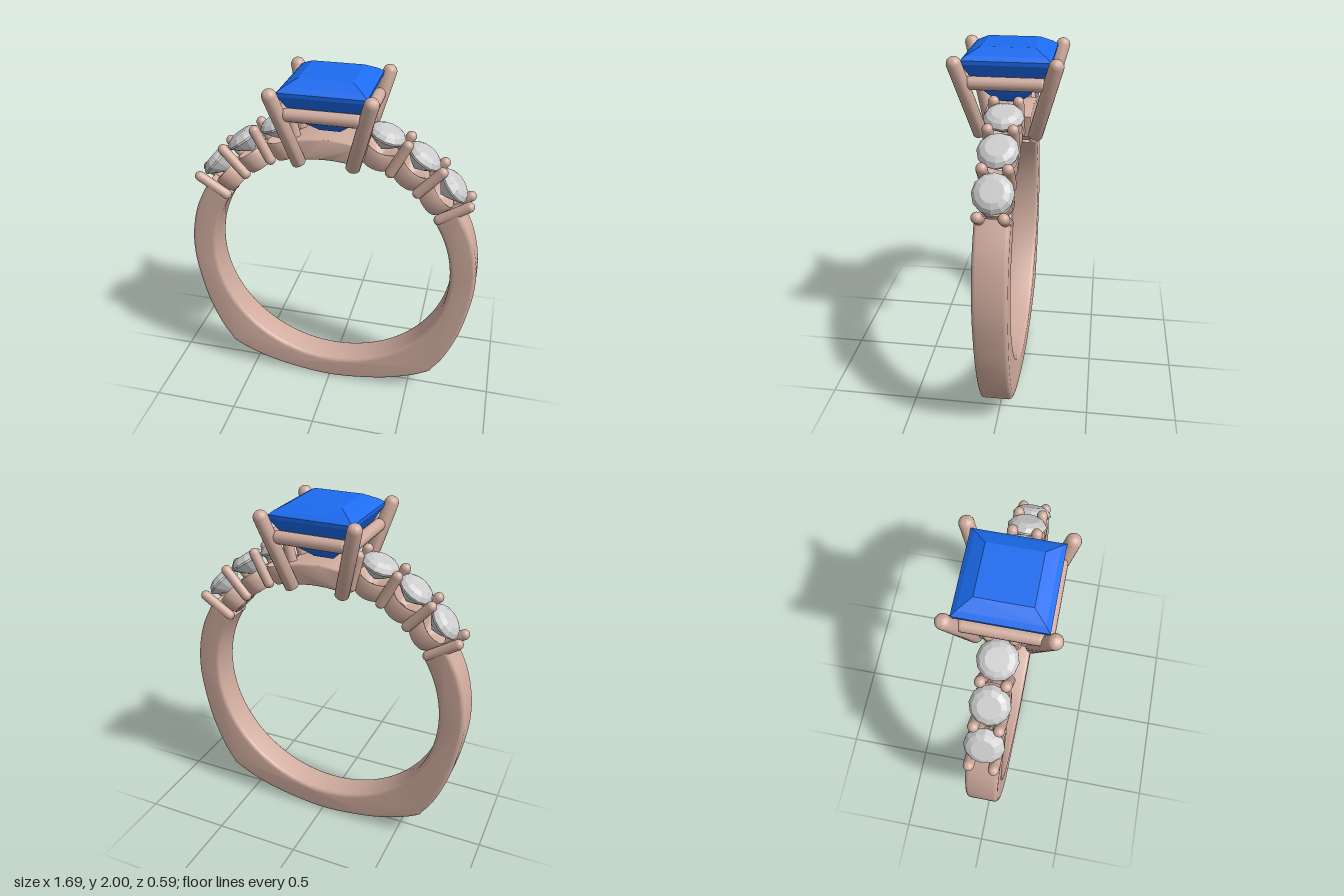
import * as THREE from 'three';
import { toCreasedNormals } from 'three/addons/utils/BufferGeometryUtils.js';

const CY = 0.853; // height of the finger-hole centre
const R = 0.7; // finger-hole radius
const rad = THREE.MathUtils.degToRad;

const gold = new THREE.MeshStandardMaterial({ color: 0xd0ac9e });
const grey = new THREE.MeshStandardMaterial({ color: 0xcccccc, flatShading: true });
const blue = new THREE.MeshStandardMaterial({ color: 0x1c6cf0, flatShading: true });

const v2 = (x, y) => new THREE.Vector2(x, y);
const v3 = (x, y, z) => new THREE.Vector3(x, y, z);

function add(parent, name, geometry, material) {
  const mesh = new THREE.Mesh(geometry, material);
  mesh.name = name;
  parent.add(mesh);
  return mesh;
}

// Round-ended rod whose tips reach exactly from a to b
function rod(parent, name, a, b, r) {
  const dir = b.clone().sub(a);
  const mesh = add(parent, name, new THREE.CapsuleGeometry(r, dir.length() - 2 * r, 6, 16), gold);
  mesh.position.copy(a).add(b).multiplyScalar(0.5);
  mesh.quaternion.setFromUnitVectors(v3(0, 1, 0), dir.normalize());
  return mesh;
}

// Extrude an outline to the given width with rounded edges, centred on z
function slab(points, width, bevel) {
  const geometry = new THREE.ExtrudeGeometry(new THREE.Shape(points), {
    depth: width - 2 * bevel, bevelThickness: bevel, bevelSize: bevel,
    bevelOffset: -bevel, bevelSegments: 4,
  });
  geometry.translate(0, 0, bevel - width / 2);
  return toCreasedNormals(geometry, rad(35));
}

// Points on a circle about the finger hole; angle measured from the top towards +x
function arc(r, from, to, n) {
  return Array.from({ length: n + 1 }, (_, i) => {
    const t = rad(from + ((to - from) * i) / n);
    return v2(r * Math.sin(t), CY + r * Math.cos(t));
  });
}

function createBand(ring) {
  // Outer half profile: shoulder, side, squared lower corner, shallow base
  const half = [
    [0.71, 1.315], [0.79, 1.16], [0.833, 1.0], [0.845, 0.85], [0.831, 0.7], [0.79, 0.5],
    [0.72, 0.31], [0.655, 0.2], [0.625, 0.163], [0.5, 0.1], [0.3, 0.04],
  ].map(([x, y]) => v2(x, y));
  const mirrored = half.map((p) => v2(-p.x, p.y)).reverse();
  const outer = new THREE.SplineCurve([...half, v2(0, 0.005), ...mirrored]).getPoints(120);
  add(ring, 'band', slab([...outer, ...arc(R, 302.5, 57.5, 90)], 0.18, 0.022), gold);

  // Curved bridge below the centre stone
  const bridge = [...arc(R + 0.12, -13, 13, 16), ...arc(R, 13, -13, 16)];
  add(ring, 'bridge', slab(bridge, 0.25, 0.012), gold);
}

// Pierced cup, round-cut stone: both built along +y, measured from the hole centre
const cupGeometry = toCreasedNormals(new THREE.LatheGeometry([
  v2(0.026, 0.705), v2(0.078, 0.7), v2(0.09, 0.725), v2(0.097, 0.8), v2(0.092, 0.81),
  v2(0.08, 0.805), v2(0.026, 0.75), v2(0.026, 0.705),
], 32), rad(35));
const stoneGeometry = new THREE.LatheGeometry([
  v2(0, 0.79), v2(0.055, 0.83), v2(0.105, 0.876), v2(0.105, 0.886),
  v2(0.088, 0.908), v2(0.06, 0.922), v2(0, 0.922),
], 12);

function createShoulder(side) {
  const shoulder = new THREE.Group();
  shoulder.name = side > 0 ? 'leftShoulder' : 'rightShoulder';
  for (const angle of [19.9, 34.6, 49.4]) {
    const setting = new THREE.Group();
    setting.name = 'sideSetting';
    setting.position.y = CY;
    setting.rotation.z = -side * rad(angle);
    add(setting, 'cup', cupGeometry, gold);
    add(setting, 'sideStone', stoneGeometry, grey);
    shoulder.add(setting);
  }
  // Paired prongs between the side stones
  for (const angle of [13, 27.4, 42, 57.3]) {
    const s = Math.sin(rad(angle)) * side;
    const c = Math.cos(rad(angle));
    for (const z of [-0.064, 0.064]) {
      rod(shoulder, 'sideProng', v3(0.695 * s, CY + 0.695 * c, z), v3(0.935 * s, CY + 0.935 * c, z), 0.029);
    }
  }
  return shoulder;
}

function createCentre() {
  const centre = new THREE.Group();
  centre.name = 'centreSetting';

  // Square-cut stone: a four-sided lathe with its flats facing the axes
  const profile = [
    [0, 1.675], [0.055, 1.695], [0.11, 1.745], [0.16, 1.81], [0.228, 1.925],
    [0.23, 1.945], [0.205, 1.965], [0.14, 2.0], [0, 2.0],
  ].map(([h, y]) => v2(h * Math.SQRT2, y));
  add(centre, 'centreStone', new THREE.LatheGeometry(profile, 4, Math.PI / 4), blue);

  // Four splayed corner prongs, flat at the foot and domed at the tip
  const foot = 0.145, tip = 0.256;
  for (const sx of [-1, 1]) {
    for (const sz of [-1, 1]) {
      const a = v3(foot * sx, 1.535, foot * sz);
      const b = v3(tip * sx, 1.935, tip * sz);
      const dir = b.clone().sub(a);
      const length = dir.length();
      const shape = [v2(0, 0), v2(0.036, 0), v2(0.039, 0.004)];
      for (let i = 0; i <= 6; i++) {
        const t = (i / 6) * Math.PI / 2;
        shape.push(v2(0.039 * Math.cos(t), length + 0.039 * Math.sin(t)));
      }
      const prong = add(centre, 'cornerProng', toCreasedNormals(new THREE.LatheGeometry(shape, 20), rad(40)), gold);
      prong.position.copy(a);
      prong.quaternion.setFromUnitVectors(v3(0, 1, 0), dir.normalize());
    }
  }

  // Square gallery rail joining the prongs
  const h = 0.215;
  for (const s of [-1, 1]) {
    rod(centre, 'galleryRail', v3(-h, 1.83, s * h), v3(h, 1.83, s * h), 0.035);
    rod(centre, 'galleryRail', v3(s * h, 1.83, -h), v3(s * h, 1.83, h), 0.035);
  }
  return centre;
}

export function createModel() {
  const ring = new THREE.Group();
  ring.name = 'ring';
  createBand(ring);
  ring.add(createShoulder(1), createShoulder(-1), createCentre());
  return ring;
}
